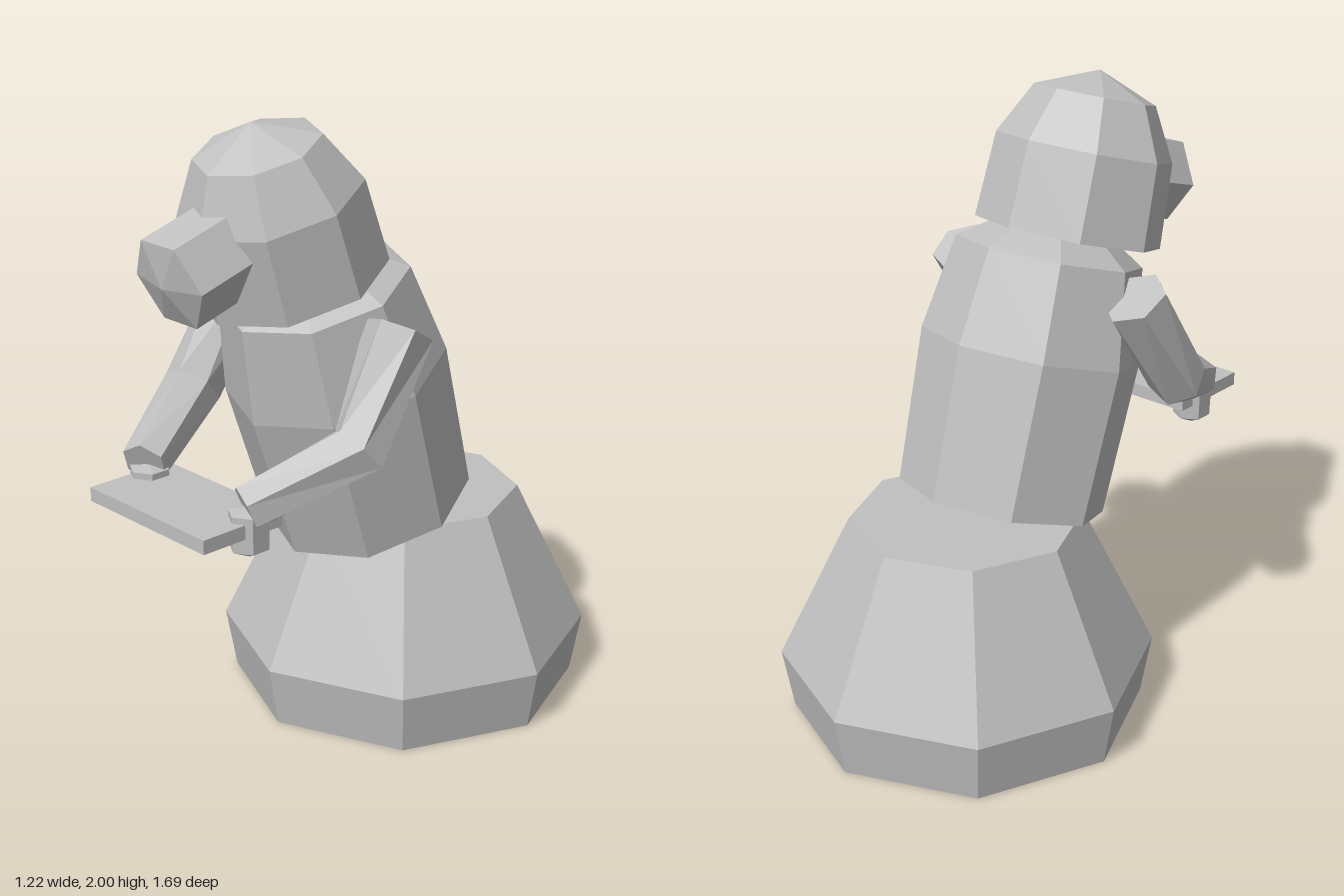
import * as THREE from 'three';

const grey = new THREE.MeshStandardMaterial({ color: 0xc0c0c0, flatShading: true });
grey.name = 'plain grey';

function part(name, geometry, parent, x = 0, y = 0, z = 0) {
  const mesh = new THREE.Mesh(geometry, grey);
  mesh.name = name;
  mesh.position.set(x, y, z);
  parent.add(mesh);
  return mesh;
}

// Turned solid from [radius, height] pairs, listed bottom to top
function turned(profile, sides, start = 0) {
  return new THREE.LatheGeometry(profile.map(p => new THREE.Vector2(...p)), sides, start);
}

// Closed six-sided limb through joints [x, y, z, radius]
function limb(joints, sides = 6) {
  const points = joints.map(j => new THREE.Vector3(j[0], j[1], j[2]));
  const last = points.length - 1;
  const pos = [], index = [];
  points.forEach((p, i) => {
    const dir = new THREE.Vector3();
    if (i > 0) dir.add(p.clone().sub(points[i - 1]).normalize());
    if (i < last) dir.add(points[i + 1].clone().sub(p).normalize());
    dir.normalize();
    const side = new THREE.Vector3(0, 1, 0).cross(dir).normalize();
    const up = dir.clone().cross(side);
    for (let k = 0; k < sides; k++) {
      const a = k / sides * Math.PI * 2;
      const v = p.clone().addScaledVector(up, joints[i][3] * Math.cos(a))
        .addScaledVector(side, -joints[i][3] * Math.sin(a));
      pos.push(v.x, v.y, v.z);
    }
  });
  for (let i = 0; i < last; i++) {
    for (let k = 0; k < sides; k++) {
      const a = i * sides + k, b = i * sides + (k + 1) % sides;
      index.push(a, b, b + sides, a, b + sides, a + sides);
    }
  }
  for (let k = 1; k < sides - 1; k++) {
    const e = last * sides;
    index.push(0, k + 1, k, e, e + k, e + k + 1);
  }
  const g = new THREE.BufferGeometry();
  g.setAttribute('position', new THREE.Float32BufferAttribute(pos, 3));
  g.setIndex(index);
  g.computeVertexNormals();
  return g;
}

export function createModel() {
  const model = new THREE.Group();
  model.name = 'figure';

  // Wide octagonal base
  part('base', turned([[0, 0], [0.575, 0], [0.61, 0.2], [0.375, 0.68], [0, 0.68]], 8), model, 0, 0, -0.236);

  // Upper body leaning forward
  const body = new THREE.Group();
  body.name = 'upperBody';
  body.position.set(0, 0.685, -0.065);
  body.rotation.x = 0.293;
  model.add(body);
  part('torso', turned([[0, 0], [0.337, 0], [0.356, 0.503], [0.303, 0.809], [0.2, 0.876], [0, 0.876]], 8), body);
  part('head', turned([[0, 0], [0.303, 0], [0.287, 0.274], [0.197, 0.442], [0, 0.521]], 8), body, 0, 0.874, 0.075);
  const nose = part('nose', turned([[0, -0.23], [0.15, -0.23], [0.15, 0], [0, 0.03]], 6, Math.PI / 6), body, 0, 1.081, 0.501);
  nose.rotation.x = Math.PI / 2;

  // Bent arms and hands
  for (const s of [1, -1]) {
    const label = s > 0 ? 'left' : 'right';
    part(label + 'Arm', limb([
      [s * 0.355, 1.395, 0.15, 0.105],
      [s * 0.385, 1.075, 0.345, 0.095],
      [s * 0.24, 0.935, 0.66, 0.075],
    ]), model);
    part(label + 'Hand', turned([[0, 0.775], [0.062, 0.805], [0.065, 0.92], [0, 0.935]], 6), model, s * 0.235, 0, 0.645);
  }

  // Tray held in front
  part('tray', new THREE.BoxGeometry(0.54, 0.045, 0.3), model, 0, 0.877, 0.695);

  return model;
}
